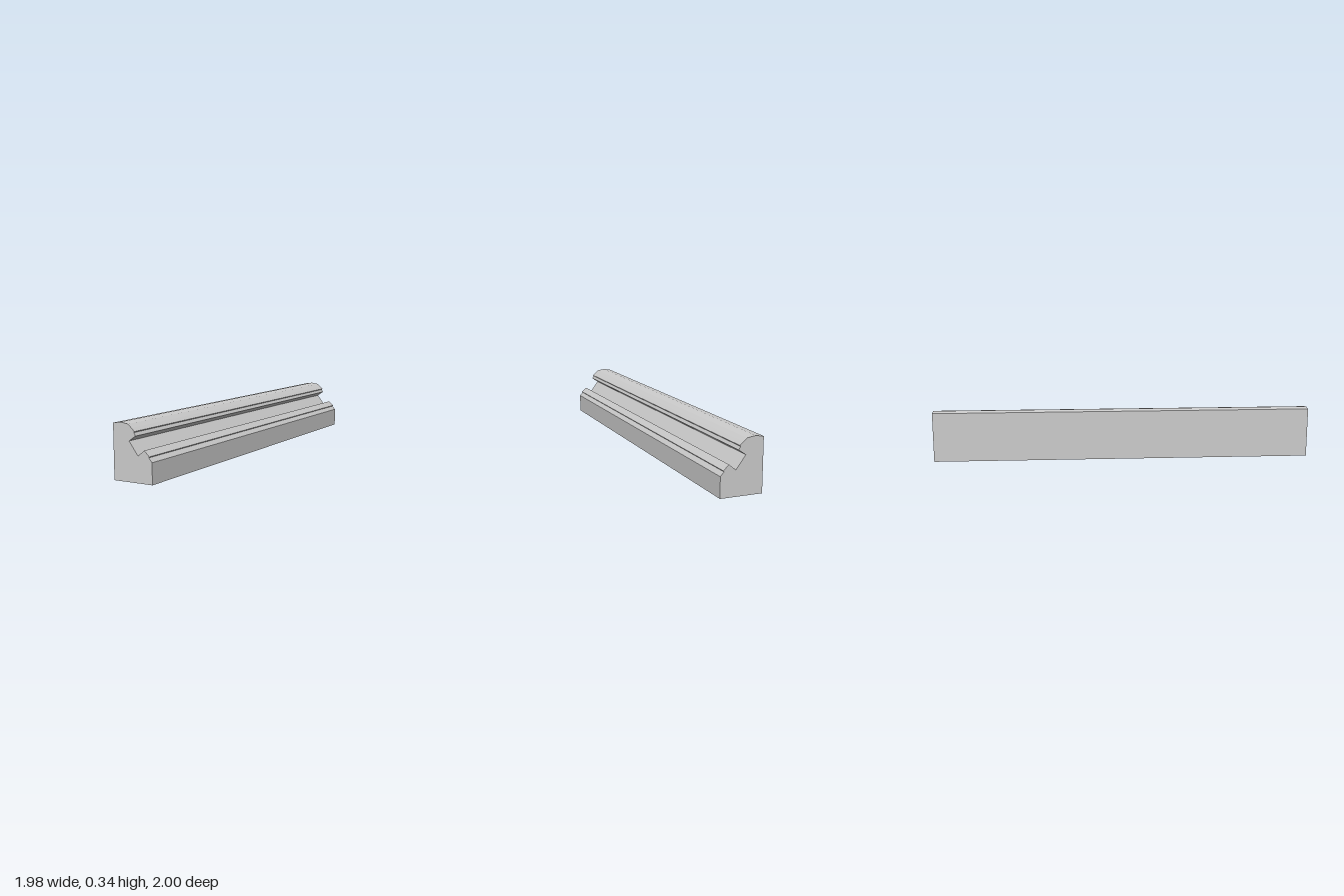
import * as THREE from 'three';

export function createModel() {
  const group = new THREE.Group();
  const material = new THREE.MeshStandardMaterial({ color: 0xcccccc, flatShading: true });
  const length = 2.55, width = 0.265;

  // Moulding cross-section: x runs from the back (0) to the front, y is up
  const profile = [
    [0, 0], [0.265, 0], [0.265, 0.127],
    [0.243, 0.152], [0.247, 0.158], [0.213, 0.19], // lower bead with a fine step
    [0.17, 0.155], [0.11, 0.235], // groove
    [0.155, 0.266], [0.144, 0.285], [0.148, 0.291], // overhanging lip with a fine step
    [0.128, 0.31], [0.104, 0.33], [0.052, 0.338], [0, 0.33], // crown
  ];
  const shape = new THREE.Shape(profile.map(([x, y]) => new THREE.Vector2(x - width / 2, y)));
  const geometry = new THREE.ExtrudeGeometry(shape, { depth: length, bevelEnabled: false });
  geometry.translate(0, 0, -length / 2);

  // The straight length lies diagonally across the ground
  const moulding = new THREE.Mesh(geometry, material);
  moulding.name = 'moulding';
  moulding.rotation.y = THREE.MathUtils.degToRad(-44.7);
  group.add(moulding);
  return group;
}
